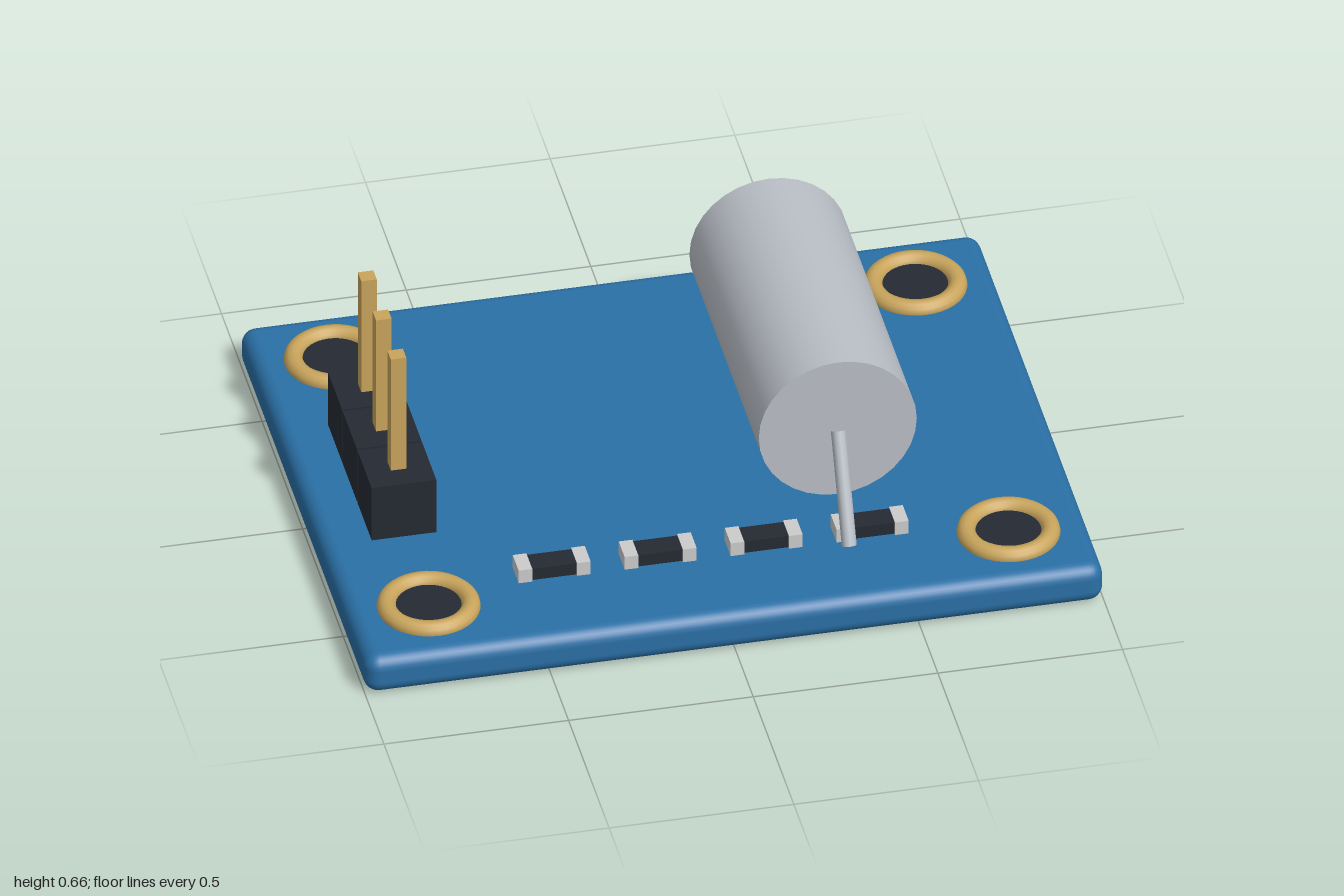
import * as THREE from 'three';
import { RoundedBoxGeometry } from 'three/addons/geometries/RoundedBoxGeometry.js';

const paint = (color) => new THREE.MeshStandardMaterial({ color });

export function createModel() {
  const model = new THREE.Group();
  const blue = paint(0x2a70a6), dark = paint(0x252a33), gold = paint(0xc9a55c);
  const silver = paint(0xb9bec6), metal = paint(0xcccccc);

  const add = (name, geometry, material, x, y, z, parent = model) => {
    const mesh = new THREE.Mesh(geometry, material);
    mesh.name = name;
    mesh.position.set(x, y, z);
    parent.add(mesh);
    return mesh;
  };

  // Circuit board with softened edges
  add('board', new RoundedBoxGeometry(2, 0.116, 1.57, 3, 0.04), blue, 0, 0.058, 0);

  // Mounting holes: a gold ring around a dark disc in each corner
  const ring = new THREE.TorusGeometry(0.112, 0.026, 12, 40).rotateX(Math.PI / 2);
  const disc = new THREE.CylinderGeometry(0.1, 0.1, 0.02, 40);
  for (const x of [-0.785, 0.785]) {
    for (const z of [-0.573, 0.573]) {
      add('mountingRing', ring, gold, x, 0.12, z);
      add('mountingHole', disc, dark, x, 0.114, z);
    }
  }

  // Three-pin header
  const header = new THREE.Group();
  header.name = 'pinHeader';
  model.add(header);
  const block = new THREE.BoxGeometry(0.175, 0.17, 0.176);
  const pin = new THREE.BoxGeometry(0.042, 0.5, 0.042);
  for (const z of [-0.182, 0, 0.182]) {
    add('headerBlock', block, dark, -0.785, 0.217, z, header);
    add('headerPin', pin, gold, -0.785, 0.413, z, header);
  }

  // Row of chip resistors with metal end caps
  const body = new THREE.BoxGeometry(0.124, 0.036, 0.066);
  const cap = new THREE.BoxGeometry(0.037, 0.041, 0.073);
  for (let i = 0; i < 4; i++) {
    const resistor = new THREE.Group();
    resistor.name = 'resistor';
    resistor.position.set(-0.435 + i * 0.287, 0.145, 0.497);
    model.add(resistor);
    add('resistorBody', body, dark, 0, 0, 0, resistor);
    for (const side of [-1, 1]) add('resistorCap', cap, metal, side * 0.079, 0, 0, resistor);
  }

  // Sensor can lying along z
  add('sensorCan', new THREE.CylinderGeometry(0.214, 0.214, 0.854, 32).rotateX(Math.PI / 2),
    silver, 0.355, 0.418, 0);

  // Wire lead sloping from the can down to the board
  const top = new THREE.Vector3(0.355, 0.416, 0.433);
  const foot = new THREE.Vector3(0.355, 0.135, 0.568);
  const along = top.clone().sub(foot);
  const mid = top.clone().add(foot).multiplyScalar(0.5);
  const lead = add('sensorLead', new THREE.CylinderGeometry(0.02, 0.02, along.length(), 10),
    silver, mid.x, mid.y, mid.z);
  lead.quaternion.setFromUnitVectors(new THREE.Vector3(0, 1, 0), along.normalize());

  return model;
}
